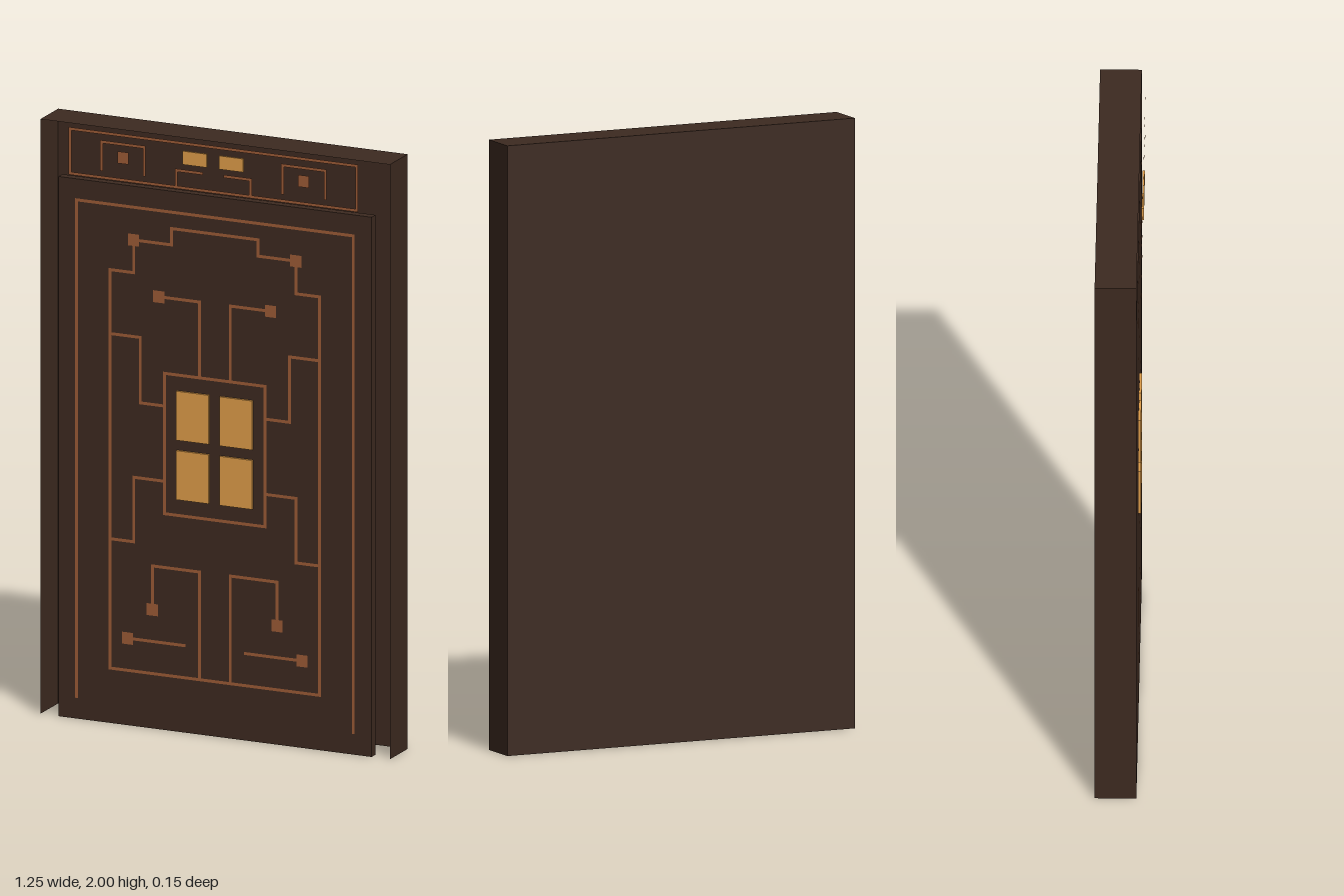
import * as THREE from 'three';
import { mergeGeometries } from 'three/addons/utils/BufferGeometryUtils.js';

const W = 0.625, H = 2, BACK = -0.08, FRONT = 0.055;
const LINE = 0.01, NODE = 0.04;

const wood = new THREE.MeshStandardMaterial({ color: 0x3d2a20, side: THREE.DoubleSide });
const copper = new THREE.MeshStandardMaterial({ color: 0x9c5a35, side: THREE.DoubleSide });
const amber = new THREE.MeshStandardMaterial({ color: 0xdf9d49 });

function add(group, name, geometry, material) {
  const mesh = new THREE.Mesh(geometry, material);
  mesh.name = name;
  group.add(mesh);
  return mesh;
}

// Flat rectangle between two corners
function rect(x0, y0, x1, y1, z) {
  return new THREE.PlaneGeometry(Math.abs(x1 - x0), Math.abs(y1 - y0))
    .translate((x0 + x1) / 2, (y0 + y1) / 2, z);
}

// Right-angled strip path, mirrored to both sides
function traces(paths, z) {
  const parts = [], h = LINE / 2;
  for (const s of [1, -1]) for (const path of paths) {
    for (let i = 1; i < path.length; i++) {
      const [ax, ay] = path[i - 1], [bx, by] = path[i];
      parts.push(rect(s * Math.min(ax, bx) - s * h, Math.min(ay, by) - h,
        s * Math.max(ax, bx) + s * h, Math.max(ay, by) + h, z));
    }
  }
  return mergeGeometries(parts);
}

// Square pads, mirrored to both sides
function pads(points, z) {
  const h = NODE / 2;
  return mergeGeometries([1, -1].flatMap(s => points.map(([x, y]) =>
    rect(s * x - h, y - h, s * x + h, y + h, z))));
}

function slab(x0, y0, z0, x1, y1, z1) {
  return new THREE.BoxGeometry(x1 - x0, y1 - y0, z1 - z0)
    .translate((x0 + x1) / 2, (y0 + y1) / 2, (z0 + z1) / 2);
}

export function createModel() {
  const model = new THREE.Group();
  model.name = 'door';

  // Thin surround, open at the front and bottom
  const depth = FRONT - BACK, mid = (FRONT + BACK) / 2;
  add(model, 'backPlate', new THREE.PlaneGeometry(2 * W, H).rotateY(Math.PI)
    .translate(0, H / 2, BACK), wood);
  for (const s of [1, -1]) {
    add(model, s > 0 ? 'leftJamb' : 'rightJamb', new THREE.PlaneGeometry(depth, H)
      .rotateY(s * Math.PI / 2).translate(s * W, H / 2, mid), wood);
  }
  add(model, 'topPlate', new THREE.PlaneGeometry(2 * W, depth).rotateX(-Math.PI / 2)
    .translate(0, H, mid), wood);

  // Door leaf
  add(model, 'doorPanel', slab(-0.56, 0, FRONT - 0.03, 0.56, 1.815, FRONT), wood);

  // Copper inlay on the leaf
  const zp = FRONT + 0.002;
  add(model, 'panelInlay', traces([
    [[0.495, 0.075], [0.495, 1.745], [0, 1.745]],
    [[0, 0.185], [0.375, 0.185], [0.375, 1.525], [0.29, 1.525], [0.29, 1.635],
      [0.155, 1.635], [0.155, 1.69], [0, 1.69]],
    [[0, 0.728], [0.18, 0.728], [0.18, 1.2], [0, 1.2]],
    [[0.055, 1.2], [0.055, 1.455], [0.2, 1.455]],
    [[0.375, 1.31], [0.267, 1.31], [0.267, 1.09], [0.18, 1.09]],
    [[0.375, 0.62], [0.29, 0.62], [0.29, 0.837], [0.18, 0.837]],
    [[0.055, 0.185], [0.055, 0.547], [0.223, 0.547], [0.223, 0.4]],
    [[0.312, 0.293], [0.11, 0.293]],
  ], zp), copper);
  add(model, 'panelPads', pads([[0.29, 1.635], [0.2, 1.455], [0.223, 0.4], [0.312, 0.293]],
    zp + 0.001), copper);

  // Four glowing window panes
  for (const s of [1, -1]) for (const [y0, y1] of [[0.982, 1.147], [0.782, 0.947]]) {
    const x = s * 0.078;
    add(model, 'windowPane', slab(x - 0.058, y0, FRONT, x + 0.058, y1, 0.063), amber);
  }

  // Header inlay and lights, standing forward of the leaf
  const zh = 0.068;
  add(model, 'headerInlay', traces([
    [[0, 1.835], [0.513, 1.835], [0.513, 1.985], [0, 1.985]],
    [[0.247, 1.862], [0.247, 1.955], [0.4, 1.955], [0.4, 1.862]],
    [[0.133, 1.835], [0.133, 1.892], [0.042, 1.892]],
  ], zh), copper);
  add(model, 'headerPads', pads([[0.323, 1.91]], zh + 0.001), copper);
  for (const s of [1, -1]) {
    add(model, 'headerLight', slab(s * 0.065 - 0.043, 1.915, 0.065,
      s * 0.065 + 0.043, 1.96, 0.072), amber);
  }
  return model;
}
